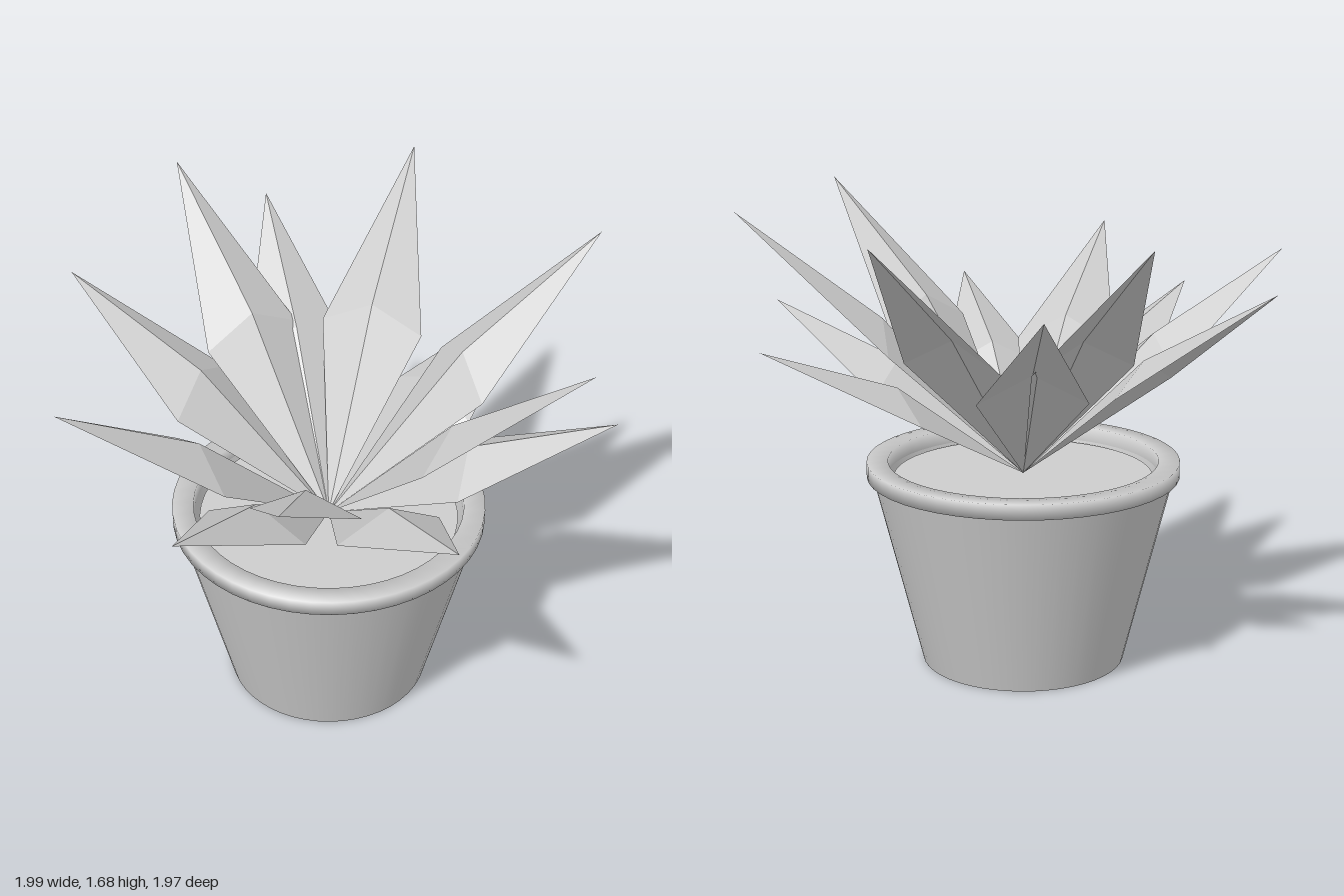
import * as THREE from 'three';

const clay = new THREE.MeshStandardMaterial({ color: 0xcccccc, side: THREE.DoubleSide });
clay.name = 'pale grey';

const centre = new THREE.Vector3(-0.01, 0, 0.015);
const baseY = 0.7;

function add(group, name, geometry) {
  const mesh = new THREE.Mesh(geometry, clay);
  mesh.name = name;
  group.add(mesh);
  return mesh;
}

const lathe = (points) =>
  new THREE.LatheGeometry(points.map(([r, y]) => new THREE.Vector2(r, y)), 48);

// Kite-shaped leaf along +z: straight outline, midrib lifted halfway along
function leafGeometry(tipY) {
  const midY = (baseY + tipY) / 2;
  const base = [0, baseY, 0], tip = [0, tipY, 1.005];
  const left = [0.19, midY, 0.5], right = [-0.19, midY, 0.5];
  const rib = [0, midY + 0.1, 0.5];
  const faces = [base, rib, left, base, right, rib, rib, tip, left, rib, right, tip];
  const geometry = new THREE.BufferGeometry();
  geometry.setAttribute('position', new THREE.Float32BufferAttribute(faces.flat(), 3));
  geometry.computeVertexNormals();
  return geometry;
}

// Three tiers of leaves, each listed by the x, z of its tips
const tiers = [
  { name: 'upperLeaf', tipY: 1.68, tips: [[0.08, -0.99], [0.84, -0.53], [0.93, 0.35], [0.29, 0.97]] },
  { name: 'middleLeaf', tipY: 1.47, tips: [[-0.47, -0.88], [0.42, -0.9], [-0.75, 0.69], [-1.0, -0.17]] },
  { name: 'lowerLeaf', tipY: 1.26, tips: [[0.99, 0.01], [0.6, 0.8], [-0.27, 0.98], [-0.94, 0.39]] },
];

export function createModel() {
  const model = new THREE.Group();
  model.name = 'pottedPlant';

  const plant = new THREE.Group();
  plant.name = 'plant';
  plant.position.copy(centre);
  model.add(plant);

  // Tapered pot: floor, outer wall and inner wall
  add(plant, 'potFloor', lathe([[0, 0], [0.37, 0]]));
  add(plant, 'potWall', lathe([[0.37, 0], [0.545, 0.7]]));
  add(plant, 'potInnerWall', lathe([[0.44, 0.5], [0.49, 0.7]]));

  // Rim, softly shaded around its section
  add(plant, 'rim', lathe([[0.49, 0.7], [0.567, 0.7], [0.567, 0.755], [0.49, 0.755], [0.49, 0.7]]));

  // Soil disc
  const soil = add(plant, 'soil', new THREE.CircleGeometry(0.47, 48));
  soil.rotation.x = -Math.PI / 2;
  soil.position.y = 0.695;

  // Leaves
  for (const { name, tipY, tips } of tiers) {
    const geometry = leafGeometry(tipY);
    tips.forEach(([x, z], i) => {
      const leaf = add(plant, `${name}${i + 1}`, geometry);
      leaf.rotation.y = Math.atan2(x - centre.x, z - centre.z);
    });
  }
  return model;
}
